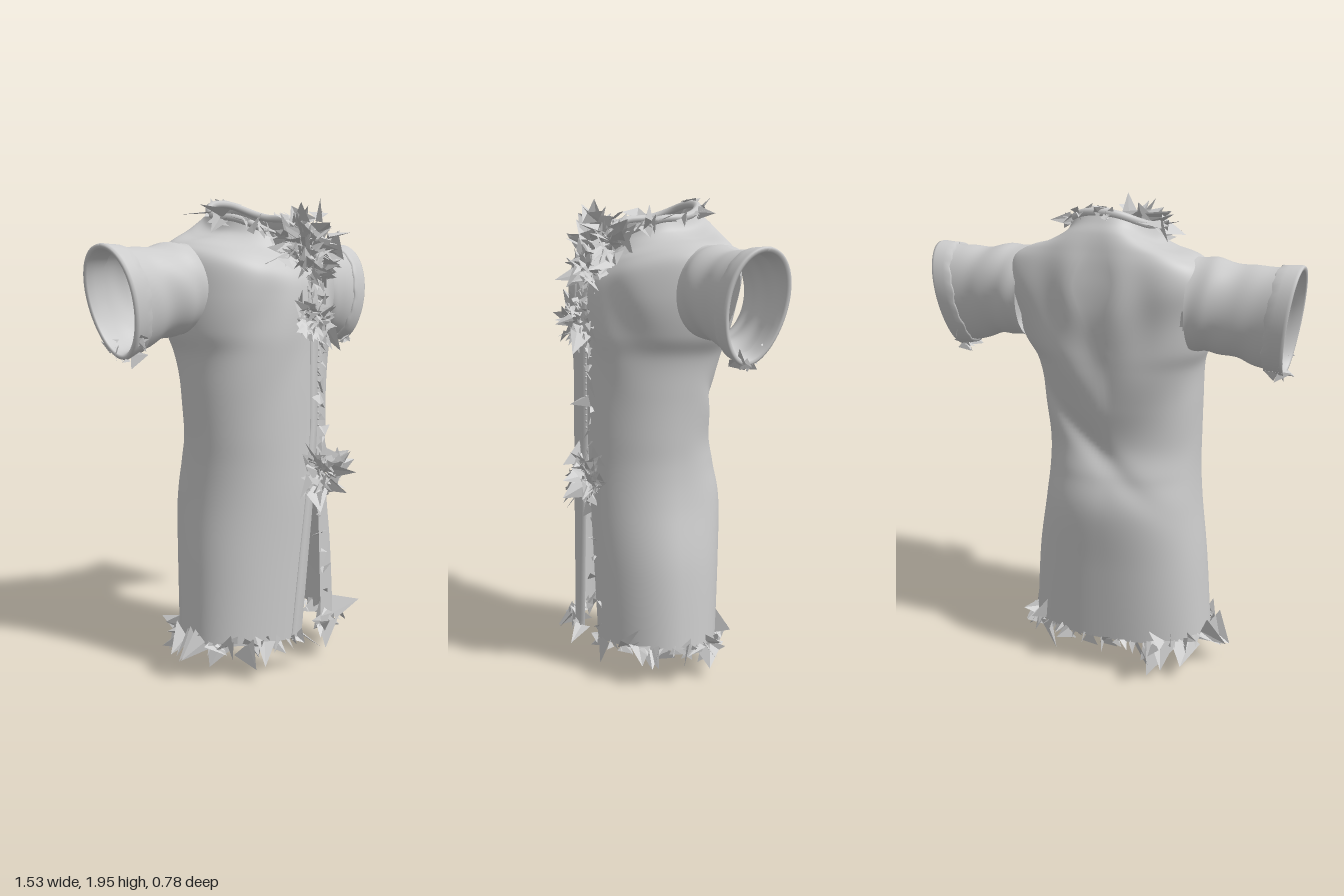
import * as THREE from 'three';

const grey = new THREE.MeshStandardMaterial({ color: 0xcccccc, side: THREE.DoubleSide });
const greyFlat = new THREE.MeshStandardMaterial({ color: 0xcccccc, side: THREE.DoubleSide, flatShading: true });

let seed = 7;
const rnd = () => {
  seed = (seed * 16807) % 2147483647;
  return seed / 2147483647;
};
const spread = (a) => (rnd() + rnd() - 1) * a;
const V = (x, y, z) => new THREE.Vector3(x, y, z);
const bump = (x, c, w) => Math.exp(-(((x - c) / w) ** 2));

// Smooth interpolation through rows of numbers, t in 0..1
function sample(rows, t) {
  const f = Math.min(t, 0.99999) * (rows.length - 1), i = Math.floor(f), k = f - i;
  const at = (n) => rows[Math.max(0, Math.min(rows.length - 1, n))];
  return rows[0].map((_, c) => {
    const [a, b, d, e] = [at(i - 1)[c], at(i)[c], at(i + 1)[c], at(i + 2)[c]];
    return b + 0.5 * k * (d - a + k * (2 * a - 5 * b + 4 * d - e + k * (3 * (b - d) + e - a)));
  });
}

// Surface from a function of (u, v); skip(p) leaves out cells
function sheet(name, fn, nu, nv, skip = () => false) {
  const pts = [], idx = [];
  for (let j = 0; j <= nv; j++) for (let i = 0; i <= nu; i++) pts.push(fn(i / nu, j / nv));
  for (let j = 0; j < nv; j++) for (let i = 0; i < nu; i++) {
    const a = j * (nu + 1) + i, b = a + 1, c = b + nu + 1, d = a + nu + 1;
    const mid = pts[a].clone().add(pts[c]).multiplyScalar(0.5);
    if (!skip(mid)) idx.push(a, b, c, a, c, d);
  }
  const geo = new THREE.BufferGeometry().setFromPoints(pts);
  geo.setIndex(idx);
  geo.computeVertexNormals();
  const mesh = new THREE.Mesh(geo, grey);
  mesh.name = name;
  return mesh;
}

// Body rings: y front, y side, y back, centre x, half width, z front, z widest, z back
const RINGS = [
  [0.18, 0.18, 0.18, -0.01, 0.39, 0.23, -0.03, -0.30],
  [0.50, 0.50, 0.50, -0.015, 0.365, 0.235, -0.04, -0.325],
  [0.75, 0.75, 0.75, -0.025, 0.33, 0.24, -0.05, -0.345],
  [0.90, 0.90, 0.90, -0.028, 0.318, 0.24, -0.05, -0.315],
  [1.03, 1.03, 1.03, -0.027, 0.32, 0.24, -0.05, -0.285],
  [1.20, 1.20, 1.20, -0.025, 0.33, 0.24, -0.07, -0.305],
  [1.35, 1.35, 1.35, -0.02, 0.345, 0.24, -0.09, -0.33],
  [1.45, 1.45, 1.45, -0.01, 0.385, 0.24, -0.12, -0.34],
  [1.58, 1.60, 1.60, 0, 0.41, 0.235, -0.14, -0.345],
  [1.66, 1.745, 1.75, 0, 0.405, 0.22, -0.15, -0.335],
  [1.72, 1.80, 1.83, 0, 0.35, 0.185, -0.14, -0.32],
  [1.76, 1.825, 1.89, 0, 0.25, 0.15, -0.11, -0.30],
  [1.80, 1.85, 1.93, 0, 0.19, 0.13, -0.085, -0.275],
  [1.82, 1.905, 1.965, 0, 0.165, 0.11, -0.08, -0.255],
];
const NECK = RINGS[RINGS.length - 1];

function ringPoint(r, th, out = 0) {
  const [yF, yS, yB, cx, w, zF, zC, zB] = r;
  const s = Math.sin(th), c = Math.cos(th);
  // the back is squarer across the shoulders
  const p = c > 0 ? 1 : 0.85 - 0.25 * bump(yS, 1.7, 0.11);
  const y = yS + c * c * ((c > 0 ? yF : yB) - yS);
  const x = cx + Math.sign(s) * Math.abs(s) ** p * (w + out);
  const depth = (c > 0 ? zF - zC : zC - zB) + out;
  let z = zC + Math.sign(c) * Math.abs(c) ** p * depth;
  // drape folds: hanging from the shoulders on the back, diagonal on the chest
  if (c < 0) {
    const m = Math.min(1, -c * 1.6);
    z += 0.008 * m * bump(y, 1.3, 0.35) * Math.sin(15 * (y - 1.2 * Math.abs(x + 0.05)));
    z += 0.018 * m * bump(y - 0.9 * x, 1.0, 0.06) * bump(y, 1.1, 0.25);
    z += 0.01 * m * bump(y, 1.65, 0.2) * Math.cos(30 * x) * bump(x, 0, 0.25);
  } else {
    z += 0.01 * c * bump(y, 1.5, 0.22) * Math.sin(24 * (Math.abs(x) + 0.5 * y)) * Math.min(1, Math.abs(x) * 5);
  }
  return V(x, y, z);
}

// The two front edges part below the waist and meet above it
function edgeAngles(r) {
  const k = Math.max(0, Math.min(1, (1.05 - r[0]) / 0.87));
  const at = (x) => Math.asin((x - r[3]) / r[4]);
  return [at(0.03 + 0.065 * k), at(0.028 - 0.088 * k) + 2 * Math.PI];
}
function bodyPoint(u, v) {
  const r = sample(RINGS, v), [a, b] = edgeAngles(r);
  return ringPoint(r, a + (b - a) * u);
}
const inArmhole = (p) => Math.abs(p.x) > 0.28 && ((p.y - 1.61) / 0.165) ** 2 + ((p.z + 0.145) / 0.14) ** 2 < 1;

// Sleeve stations: x, top y, bottom y, centre z, half depth, lean
const SLEEVE = [
  [0.345, 1.80, 1.43, -0.15, 0.162, 0.0],
  [0.42, 1.80, 1.435, -0.148, 0.157, 0.04],
  [0.52, 1.785, 1.42, -0.148, 0.138, 0.08],
  [0.61, 1.785, 1.39, -0.146, 0.13, 0.12],
  [0.718, 1.79, 1.365, -0.146, 0.129, 0.15],
];
function sleevePoint(side, u, t, out = 0) {
  const [x, top, bot, zc, rz, lean] = sample(SLEEVE, t), a = u * 2 * Math.PI;
  const fold = 0.006 * Math.sin(t * 17 + 3 * Math.sin(a + side)) * Math.min(1, t * 4) * (1 - t) + out;
  const h = Math.cos(a) * ((top - bot) / 2 + fold);
  const len = side < 0 ? 1.04 : 1;
  const egg = 1 + 0.1 * t * Math.cos(a);
  return V(side * (x + lean * h) * len, (top + bot) / 2 + h, zc + Math.sin(a) * (rz + fold) * egg - 0.1 * h * t);
}
// Cuff profile: position along the sleeve, offset outwards
const CUFF = [[0.81, 0], [0.815, 0.009], [0.87, 0.008], [0.96, 0.009], [0.995, 0.005], [1, -0.003],
  [0.985, -0.012], [0.9, -0.016], [0.81, -0.014]];

// Torn scraps: pairs of folded triangles of very mixed size
function scraps(name, list) {
  const pts = [];
  for (const { p, dir, size } of list) {
    const d = dir.clone().add(V(spread(1), spread(1), spread(1))).normalize();
    const s = V(spread(1), spread(1), spread(1)).cross(d).normalize();
    const n = d.clone().cross(s);
    const L = size * (0.5 + 1.3 * rnd() ** 2);
    const tip = p.clone().addScaledVector(d, L);
    const q = p.clone().addScaledVector(s, L * (0.35 + 0.5 * rnd()));
    const w = p.clone().addScaledVector(n, L * 0.5 * rnd()).addScaledVector(s, -L * 0.3);
    pts.push(p, q, tip, p, tip, w);
  }
  for (const p of pts) p.set(Math.max(-0.78, Math.min(0.78, p.x)), Math.max(0.01, Math.min(1.99, p.y)), p.z);
  const geo = new THREE.BufferGeometry().setFromPoints(pts);
  geo.computeVertexNormals();
  const mesh = new THREE.Mesh(geo, greyFlat);
  mesh.name = name;
  return mesh;
}
const cluster = (c, r, n, size) => Array.from({ length: n }, () => {
  const off = V(spread(r.x), spread(r.y), spread(r.z));
  return { p: c.clone().add(off), dir: off.clone().normalize().add(V(0, 0, 0.2)), size };
});

export function createModel() {
  const model = new THREE.Group();
  model.name = 'tornRobe';

  // Body with armholes
  model.add(sheet('robeBody', bodyPoint, 144, 130, inArmhole));

  // Raised placket along the right front edge
  const strip = [[-0.13, -0.003], [-0.125, 0.005], [-0.08, 0.006], [-0.075, 0.002], [-0.07, 0.006], [0, 0.008], [0.004, -0.012]];
  model.add(sheet('frontPlacket', (u, v) => {
    const r = sample(RINGS, v * 0.66), [da, out] = strip[Math.round(u * 6)];
    return ringPoint(r, edgeAngles(r)[1] + da, out);
  }, 6, 60));

  // Stitches above the slit
  const stitches = new THREE.Group();
  stitches.name = 'frontStitches';
  for (let i = 0; i < 13; i++) {
    const dot = new THREE.Mesh(new THREE.SphereGeometry(0.005, 6, 4), grey);
    dot.name = 'stitch';
    dot.position.set(0.035, 1.06 + i * 0.026, 0.243);
    stitches.add(dot);
  }
  model.add(stitches);

  // Rolled collar
  const rim = Array.from({ length: 32 }, (_, i) => ringPoint(NECK, (i / 32) * 2 * Math.PI));
  const collar = new THREE.Mesh(
    new THREE.TubeGeometry(new THREE.CatmullRomCurve3(rim, true), 80, 0.016, 8, true), grey);
  collar.name = 'collar';
  model.add(collar);

  // Sleeves and turned cuffs
  for (const side of [1, -1]) {
    const tag = side > 0 ? 'left' : 'right';
    model.add(sheet(tag + 'Sleeve', (u, v) => sleevePoint(side, u, v * 0.97), 48, 32));
    model.add(sheet(tag + 'Cuff', (u, v) => {
      const [t, out] = CUFF[Math.round(v * 8)];
      const ragged = t < 0.82 ? 0.012 * Math.sin(u * 75) * Math.sin(u * 31) : 0;
      return sleevePoint(side, u, t + ragged, out);
    }, 64, 8));
    model.add(scraps(tag + 'CuffScraps', Array.from({ length: 12 }, () => ({
      p: sleevePoint(side, 0.5 + spread(0.16), 0.94), dir: V(-side * 0.4, -0.3, 0), size: 0.04,
    }))));
  }
  model.add(scraps('leftCuffFlap', [0, 1].map(() => ({ p: V(0.68, 1.375, -0.11), dir: V(2, -0.2, 0), size: 0.1 }))));

  // Scraps round the hem
  model.add(scraps('hemScraps', Array.from({ length: 85 }, (_, i) => {
    const p = bodyPoint(i / 84, 0.004);
    return { p, dir: V(p.x * 1.1, -0.6 + spread(0.6), p.z * 1.1), size: 0.088 };
  })));

  // Scraps round the collar
  model.add(scraps('collarScraps', Array.from({ length: 42 }, () => {
    const p = ringPoint(NECK, rnd() * 2 * Math.PI, 0.012);
    return { p, dir: V(p.x * 4, -0.1, (p.z + 0.08) * 3), size: 0.065 };
  })));

  // Bunches of scraps down the front
  model.add(scraps('neckScraps', [
    ...cluster(V(0.05, 1.8, 0.165), V(0.16, 0.11, 0.06), 120, 0.07),
    ...cluster(V(0.0, 1.69, 0.22), V(0.1, 0.09, 0.04), 70, 0.06),
  ]));
  model.add(scraps('chestScraps', cluster(V(0.0, 1.5, 0.255), V(0.11, 0.09, 0.04), 75, 0.06)));
  model.add(scraps('waistScraps', cluster(V(0.06, 0.85, 0.255), V(0.1, 0.08, 0.04), 75, 0.065)));

  // Ragged left front edge
  model.add(scraps('leftEdgeScraps', Array.from({ length: 26 }, (_, i) => {
    const p = bodyPoint(0, (i / 25) * 0.53);
    return { p: p.add(V(0.02 + spread(0.03), 0, 0.004)), dir: V(spread(2), -0.7, 0), size: 0.06 };
  })));

  return model;
}
